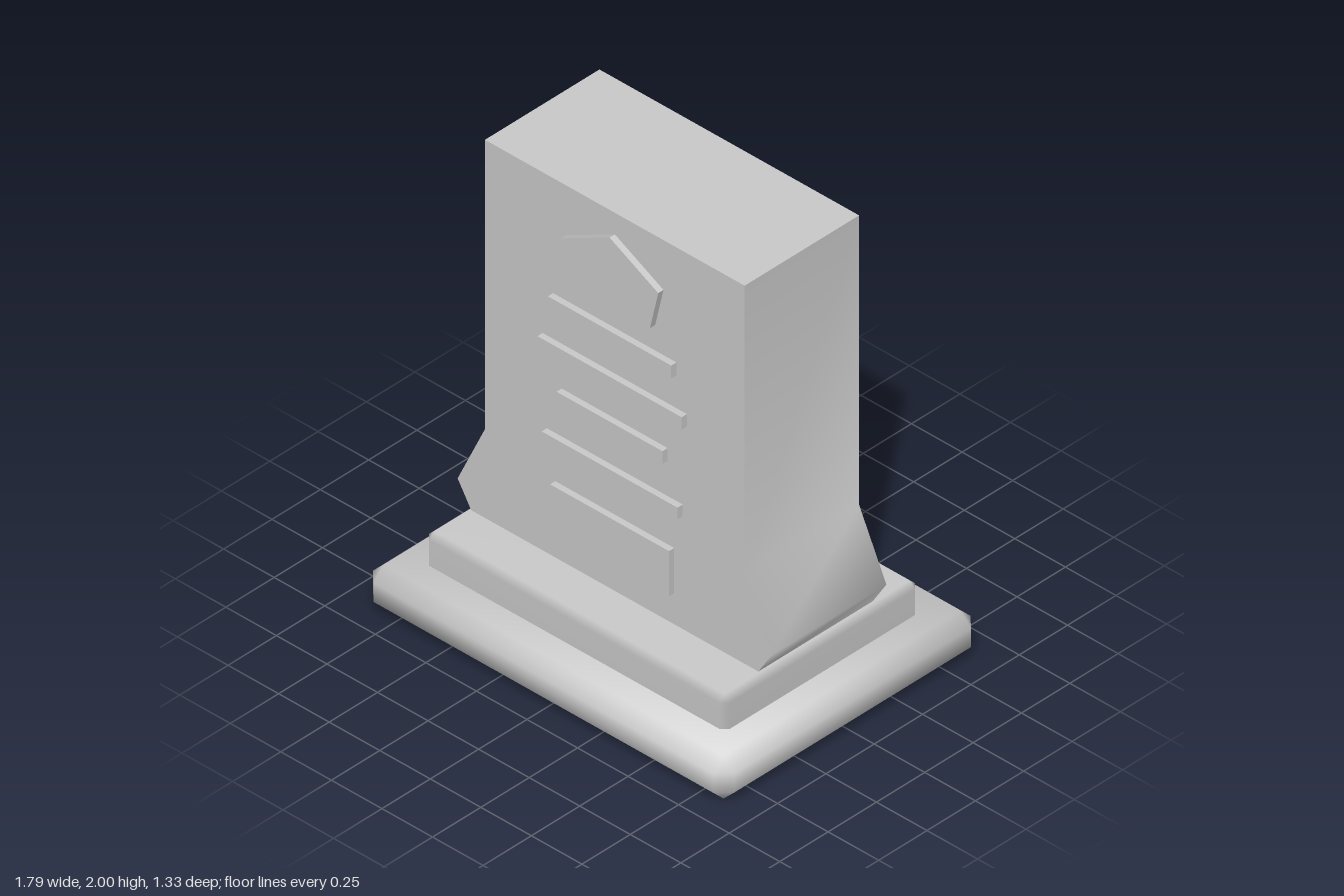
import * as THREE from 'three';
import { toCreasedNormals } from 'three/addons/utils/BufferGeometryUtils.js';
import { ConvexGeometry } from 'three/addons/geometries/ConvexGeometry.js';

const material = new THREE.MeshStandardMaterial({ color: 0xcccccc });

function addMesh(group, name, geometry) {
  const mesh = new THREE.Mesh(geometry, material);
  mesh.name = name;
  group.add(mesh);
  return mesh;
}

// Box with every edge chamfered; a low faceWeight shades it as a soft cushion,
// a high one keeps the large faces flat and rounds only the chamfers.
function chamferedBox(hx, y0, y1, hz, chamfer, faceWeight) {
  const half = [hx, (y1 - y0) / 2, hz];
  const points = [];
  for (const sx of [-1, 1]) for (const sy of [-1, 1]) for (const sz of [-1, 1]) {
    for (let axis = 0; axis < 3; axis++) {
      const c = half.map((h, i) => (i === axis ? h : h - chamfer));
      points.push(new THREE.Vector3(sx * c[0], sy * c[1], sz * c[2]));
    }
  }
  const geometry = new ConvexGeometry(points);
  const pos = geometry.attributes.position;
  const normal = new THREE.Vector3();
  for (let i = 0; i < pos.count; i++) {
    const p = [pos.getX(i), pos.getY(i), pos.getZ(i)];
    const n = p.map((v, k) => Math.sign(v) * (Math.abs(v) > half[k] - chamfer / 2 ? faceWeight : 1));
    normal.fromArray(n).normalize();
    geometry.attributes.normal.setXYZ(i, normal.x, normal.y, normal.z);
  }
  return geometry.translate(0, (y0 + y1) / 2, 0);
}

// Outline symmetric about x = 0, given by its right side from bottom to top
function mirroredShape(right) {
  const left = right.filter(([x]) => x > 0).reverse().map(([x, y]) => [-x, y]);
  return new THREE.Shape([...right, ...left].map(([x, y]) => new THREE.Vector2(x, y)));
}

function slab(right, depth) {
  const geometry = new THREE.ExtrudeGeometry(mirroredShape(right), { depth, bevelEnabled: false });
  return geometry.translate(0, 0, -depth / 2);
}

export function createModel() {
  const group = new THREE.Group();

  // Stepped plinth
  addMesh(group, 'base', chamferedBox(0.893, 0, 0.19, 0.665, 0.053, 2.3));
  addMesh(group, 'upperStep', chamferedBox(0.744, 0.15, 0.33, 0.505, 0.026, 100));

  // Upright stone with flared foot
  const bodyDepth = 0.592;
  const body = slab([[0.71, 0.32], [0.71, 0.33], [0.777, 0.437], [0.642, 0.722], [0.642, 2]], bodyDepth);
  addMesh(group, 'stone', toCreasedNormals(body, Math.PI / 3));

  // Raised reliefs, repeated on front and back
  const rect = (x, y0, y1) => [[x, y0], [x, y1]];
  const reliefs = [
    ['pentagonRelief', [[0.2, 1.605], [0.241, 1.78], [0, 1.905]]],
    ['barRelief1', rect(0.305, 1.435, 1.492)],
    ['barRelief2', rect(0.357, 1.235, 1.29)],
    ['barRelief3', rect(0.262, 1.037, 1.092)],
    ['barRelief4', rect(0.336, 0.828, 0.88)],
    ['plaqueRelief', rect(0.294, 0.468, 0.667)],
  ];
  for (const [side, sign] of [['front', 1], ['back', -1]]) {
    const panel = new THREE.Group();
    panel.name = side + 'Reliefs';
    for (const [name, outline] of reliefs) {
      const mesh = addMesh(panel, name, slab(outline, 0.04));
      mesh.position.z = sign * (bodyDepth / 2 + 0.007);
    }
    group.add(panel);
  }
  return group;
}
